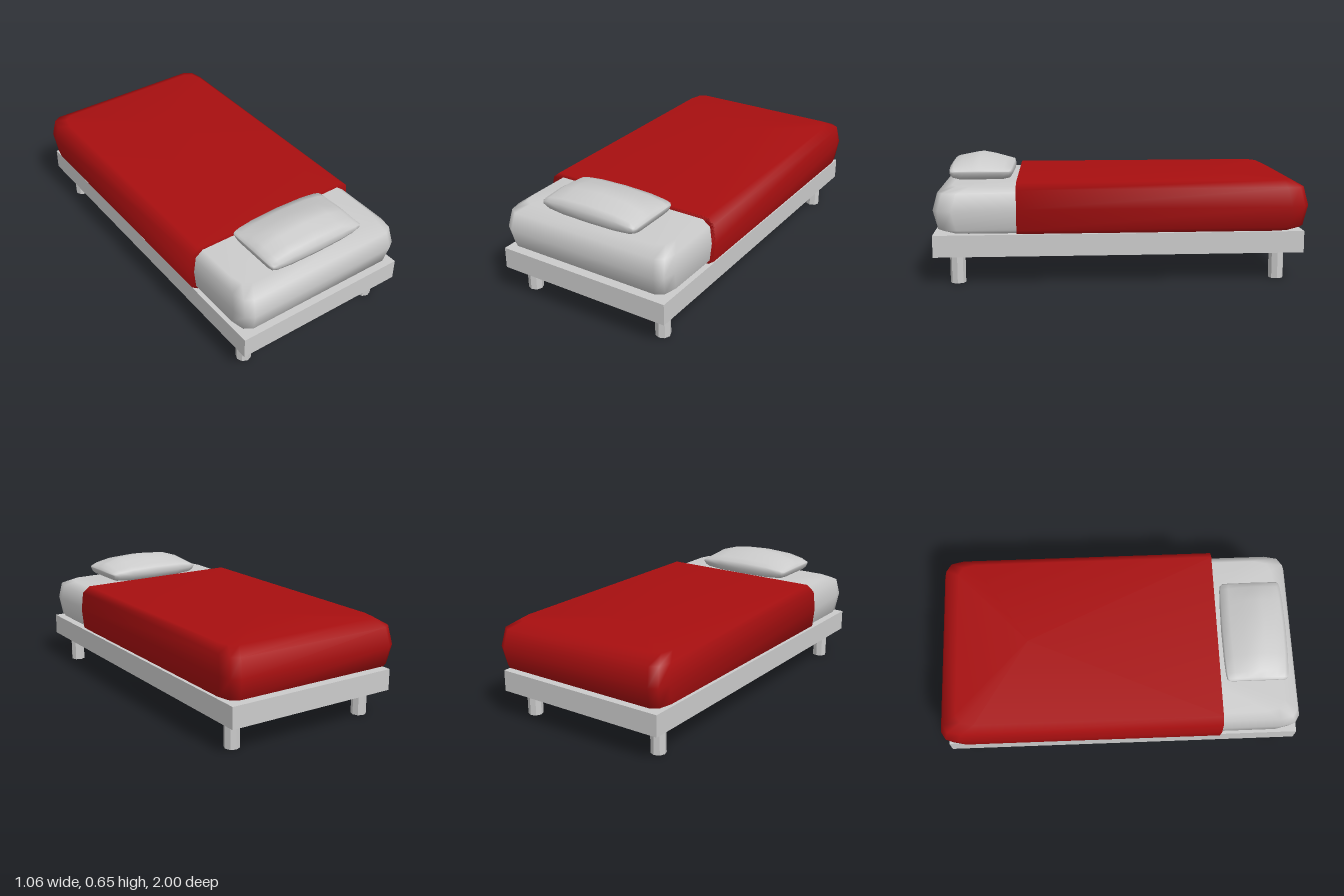
import * as THREE from 'three';

const grey = () => new THREE.MeshStandardMaterial({ color: 0xcccccc, side: THREE.DoubleSide });
const red = () => new THREE.MeshStandardMaterial({ color: 0xa80f10, side: THREE.DoubleSide });

// Smooth skin through closed rings of Vector3, with optional fans closing each end
function loft(rings, capStart, capEnd) {
  const n = rings[0].length, pts = rings.flat(), index = [];
  for (let i = 0; i < rings.length - 1; i++) {
    for (let j = 0; j < n; j++) {
      const k = (j + 1) % n, a = i * n, d = a + n;
      index.push(a + j, a + k, d + k, a + j, d + k, d + j);
    }
  }
  const cap = (r, flip) => {
    const centre = rings[r].reduce((s, p) => s.add(p), new THREE.Vector3()).divideScalar(n);
    const c = pts.push(centre) - 1;
    for (let j = 0; j < n; j++) {
      const a = r * n + j, b = r * n + (j + 1) % n;
      index.push(c, flip ? b : a, flip ? a : b);
    }
  };
  if (capStart) cap(0, true);
  if (capEnd) cap(rings.length - 1, false);
  const g = new THREE.BufferGeometry().setFromPoints(pts);
  g.setIndex(index);
  g.computeVertexNormals();
  return g;
}

// Bevelled layers of a soft slab: [height fraction, x inset, z inset]
const LAYERS = [[0, 0.045, 0.085], [0.09, 0.012, 0.025], [0.5, 0, 0], [0.87, 0.012, 0.025], [1, 0.055, 0.1]];
// Rounded corner in plan: insets from the side and from the end
const CORNER = [[0, 0.1], [0.016, 0.028], [0.06, 0]];

// Rounded slab from zBack to zFront; cutFront leaves a straight open front edge
function softSlab(hx, y0, y1, zBack, zFront, cutFront) {
  const rings = LAYERS.map(([f, ix, iz]) => {
    const y = y0 + f * (y1 - y0), x = hx - ix, zb = zBack + iz, zf = zFront - iz;
    const right = [];
    if (cutFront) right.push([x, zFront]);
    else for (const [cx, cz] of [...CORNER].reverse()) right.push([x - cx, zf - cz]);
    for (const [cx, cz] of CORNER) right.push([x - cx, zb + cz]);
    const left = right.map(([px, pz]) => [-px, pz]).reverse();
    return [...right, ...left].map(([px, pz]) => new THREE.Vector3(px, y, pz));
  });
  return loft(rings, !cutFront, true);
}

export function createModel() {
  const bed = new THREE.Group();
  bed.name = 'bed';
  const add = (name, geometry, material, x = 0, y = 0, z = 0) => {
    const mesh = new THREE.Mesh(geometry, material);
    mesh.name = name;
    mesh.position.set(x, y, z);
    bed.add(mesh);
  };

  // Base and four eight-sided legs
  add('frame', new THREE.BoxGeometry(1.012, 0.117, 1.975), grey(), 0, 0.2115, 0.0125);
  const legMaterial = grey();
  legMaterial.flatShading = true;
  const legGeometry = new THREE.CylinderGeometry(0.041, 0.041, 0.154, 8);
  for (const [end, z] of [['front', 0.878], ['back', -0.845]]) {
    for (const [side, s] of [['Left', 1], ['Right', -1]]) {
      add(end + side + 'Leg', legGeometry, legMaterial, s * 0.418, 0.077, z);
    }
  }

  // Mattress, and the blanket wrapped over its back part
  add('mattress', softSlab(0.506, 0.27, 0.52, -0.97, 1, false), grey());
  const hx = 0.532, y0 = 0.27, y1 = 0.542, edge = 0.56;
  add('blanket', softSlab(hx, y0, y1, -1, edge, true), red());

  // Flat hem closing the blanket around the mattress
  const half = LAYERS.map(([f, ix]) => new THREE.Vector2(hx - ix, y0 + f * (y1 - y0)));
  const outline = [...half, ...half.map((p) => new THREE.Vector2(-p.x, p.y)).reverse()];
  add('blanketHem', new THREE.ShapeGeometry(new THREE.Shape(outline)), red(), 0, 0, edge);

  // Pillow: side section (z, y) about its seam, squeezed towards both ends
  const section = [
    [-0.173, 0.025], [-0.13, 0.041], [-0.06, 0.064], [0.01, 0.08], [0.05, 0.074], [0.11, 0.06],
    [0.155, 0.05], [0.176, 0.022], [0.177, -0.015], [0.162, -0.042], [0.12, -0.055],
    [-0.12, -0.055], [-0.16, -0.045], [-0.179, -0.012],
  ];
  // Stations: [x, top scale, bottom scale, depth scale]
  const half2 = [[0, 1, 1, 1], [0.16, 0.85, 0.97, 0.985], [0.25, 0.5, 0.82, 0.96], [0.28, 0.25, 0.6, 0.93], [0.29, 0.06, 0.15, 0.86]];
  const stations = [...half2.slice(1).reverse().map(([x, ...s]) => [-x, ...s]), ...half2];
  const rings = stations.map(([x, top, bottom, depth]) =>
    section.map(([z, y]) => new THREE.Vector3(x, y * (y > 0 ? top : bottom), z * depth)));
  add('pillow', loft(rings, true, true), grey(), 0, 0.575, 0.758);

  return bed;
}
